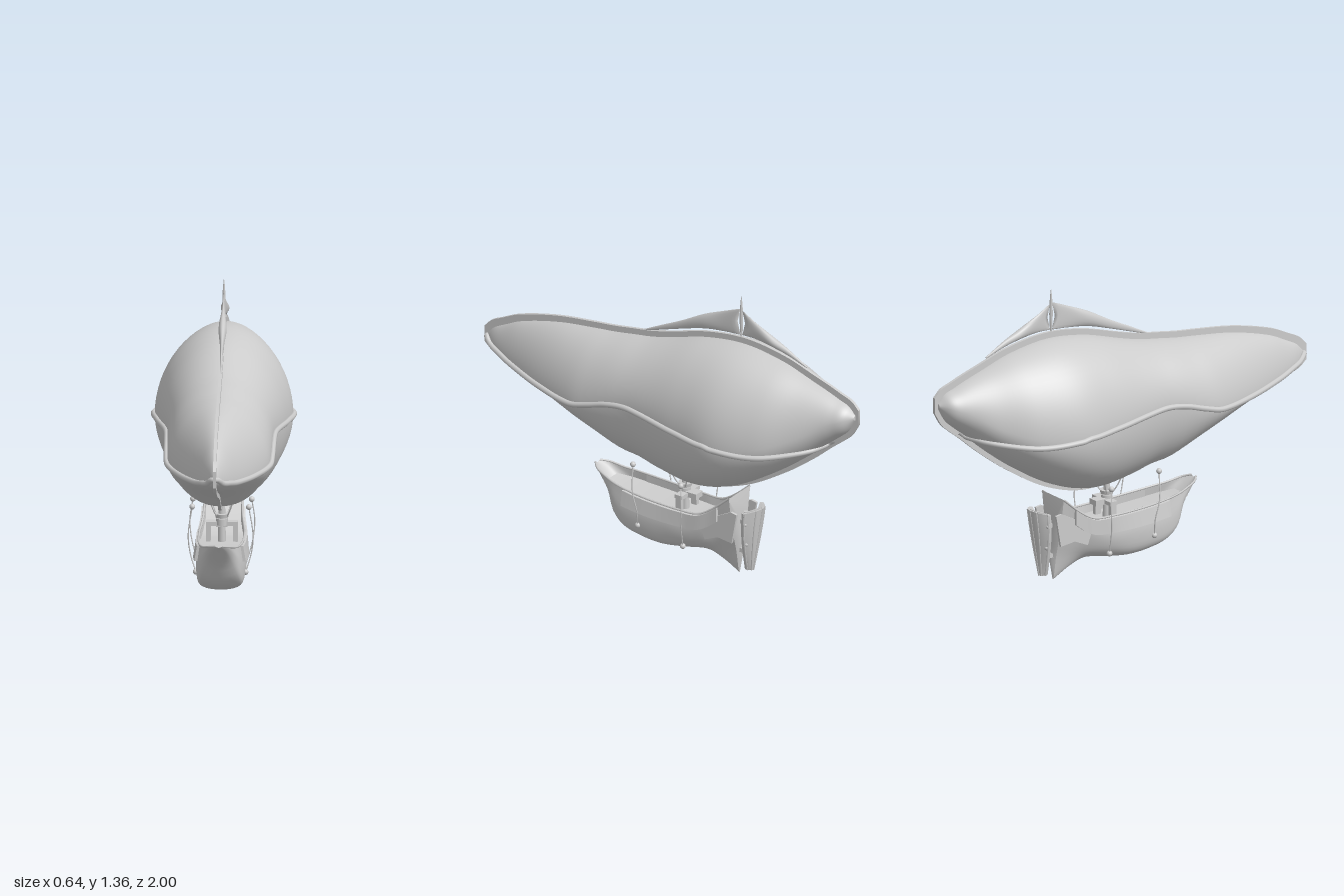
import * as THREE from 'three';
import { toCreasedNormals } from 'three/addons/utils/BufferGeometryUtils.js';

const mat = new THREE.MeshStandardMaterial({ color: 0xcccccc });
const thin = new THREE.MeshStandardMaterial({ color: 0xcccccc, side: THREE.DoubleSide });
const V = (x, y, z) => new THREE.Vector3(x, y, z);

function add(parent, name, geo, material = mat, x = 0, y = 0, z = 0) {
  const m = new THREE.Mesh(geo, material);
  m.name = name;
  m.position.set(x, y, z);
  parent.add(m);
  return m;
}

// Smooth lookup in a table of rows [z, a, b, ...] sorted by falling z
function sample(t, z) {
  let i = 0;
  while (i < t.length - 2 && z < t[i + 1][0]) i++;
  const a = t[i], b = t[i + 1], p = t[Math.max(i - 1, 0)], n = t[Math.min(i + 2, t.length - 1)];
  const h = b[0] - a[0], u = (z - a[0]) / h;
  return a.slice(1).map((v, k) => {
    const c = k + 1, m0 = (b[c] - p[c]) / (b[0] - p[0]) * h, m1 = (n[c] - a[c]) / (n[0] - a[0]) * h;
    return v + u * (m0 + u * (3 * (b[c] - v) - 2 * m0 - m1 + u * (2 * (v - b[c]) + m0 + m1)));
  });
}

// Surface through rings of points, optionally closed round and capped
function loft(rings, closed = true, caps = closed) {
  const n = rings[0].length, pts = rings.flat(), idx = [];
  for (let r = 0; r < rings.length - 1; r++)
    for (let i = 0; i < (closed ? n : n - 1); i++) {
      const a = r * n + i, b = r * n + (i + 1) % n;
      idx.push(a, b, a + n, b, b + n, a + n);
    }
  if (caps) [0, rings.length - 1].forEach((r, end) => {
    const c = pts.length, mid = V(0, 0, 0);
    rings[r].forEach((p) => mid.addScaledVector(p, 1 / n));
    pts.push(mid);
    for (let i = 0; i < n; i++) {
      const a = r * n + i, b = r * n + (i + 1) % n;
      end ? idx.push(a, b, c) : idx.push(b, a, c);
    }
  });
  const g = new THREE.BufferGeometry().setFromPoints(pts);
  g.setIndex(idx);
  g.computeVertexNormals();
  return g;
}

const steps = (n, a, b) => Array.from({ length: n + 1 }, (_, i) => a + (b - a) * i / n);
const tube = (pts, r, seg = 40, sides = 8) =>
  new THREE.TubeGeometry(new THREE.CatmullRomCurve3(pts), seg, r, sides);

// Envelope rows: z, top, bottom, widest height, half width
const ENV = [
  [0.985, 0.825, 0.795, 0.81, 0.008], [0.95, 0.86, 0.765, 0.785, 0.03], [0.9, 0.885, 0.745, 0.772, 0.052],
  [0.8, 0.93, 0.705, 0.75, 0.09], [0.6, 0.98, 0.645, 0.728, 0.163], [0.4, 1.005, 0.575, 0.722, 0.222],
  [0.3, 1.015, 0.525, 0.745, 0.23], [0.2, 1.03, 0.48, 0.775, 0.232], [0.1, 1.045, 0.465, 0.79, 0.236],
  [0, 1.07, 0.44, 0.785, 0.25], [-0.2, 1.125, 0.42, 0.767, 0.285], [-0.4, 1.145, 0.475, 0.755, 0.305],
  [-0.6, 1.115, 0.59, 0.775, 0.255], [-0.75, 1.065, 0.7, 0.83, 0.175], [-0.85, 1.03, 0.785, 0.89, 0.12],
  [-0.9, 1.01, 0.825, 0.915, 0.095], [-0.95, 0.99, 0.87, 0.935, 0.068], [-0.985, 0.955, 0.93, 0.943, 0.02],
];
const SEAM = [[-0.4, 0.748], [-0.6, 0.738], [-0.8, 0.765], [-0.95, 0.8]];
// Cross-section exponents: pointed towards the nose, rounder amidships
const power = (z, up) => THREE.MathUtils.lerp(up ? 1.9 : 2.1, up ? 1.65 : 1.45, THREE.MathUtils.smoothstep(z, 0.1, 0.8));

function envelope(parent) {
  const g = new THREE.Group();
  g.name = 'envelope';
  parent.add(g);
  const zs = steps(90, 0, Math.PI).map((a) => 0.985 * Math.cos(a));
  add(g, 'gasBag', loft(zs.map((z) => {
    const [top, bot, eq, w] = sample(ENV, z);
    return steps(63, 0, Math.PI * 2 * 63 / 64).map((a) => {
      const c = Math.cos(a), s = Math.sin(a), e = 2 / power(z, s > 0);
      return V(w * Math.sign(c) * Math.abs(c) ** e, eq + (s > 0 ? top - eq : bot - eq) * Math.abs(s) ** e, z);
    });
  })), thin);

  // Side seam running round the nose and meeting the keel at the tail
  const half = steps(60, -0.87, 0.985).map((z) => {
    const [, bot, eq, w] = sample(ENV, z), p = power(z, false);
    const y = z > -0.4 ? eq : Math.max(bot, sample(SEAM, z)[0]);
    const x = w * Math.max(0, 1 - ((eq - y) / (eq - bot)) ** p) ** (1 / p);
    return V(x + 0.004, y, z);
  });
  const other = half.map((p) => V(-p.x, p.y, p.z)).reverse();
  add(g, 'sideSeam', tube([...half, V(0, 0.81, 0.988), ...other], 0.013, 260));

  // Ridge band round the centre line
  const outline = (o, up) => zs.map((z) => {
    const r = sample(ENV, z);
    return new THREE.Vector2(z * (1 + o * 0.6), up ? r[0] + o : r[1] - o * 0.7);
  });
  const loop = (o) => [...outline(o, true), ...outline(o, false).reverse()];
  const band = new THREE.Shape(loop(0.027));
  band.holes.push(new THREE.Path(loop(-0.004)));
  const geo = new THREE.ExtrudeGeometry(band, { depth: 0.014, bevelEnabled: false });
  geo.translate(0, 0, -0.007).rotateY(-Math.PI / 2);
  add(g, 'ridgeBand', toCreasedNormals(geo, 0.6), thin);
}

// Dorsal fins rows: z, bottom, top, half thickness
const FRONT_FIN = [[0.15, 1.058, 1.066, 0.003], [0.05, 1.09, 1.115, 0.005], [-0.05, 1.122, 1.163, 0.008],
  [-0.17, 1.157, 1.228, 0.018], [-0.27, 1.172, 1.273, 0.009], [-0.335, 1.178, 1.306, 0.005]];
const REAR_FIN = [[-0.405, 1.18, 1.3, 0.005], [-0.45, 1.18, 1.262, 0.01], [-0.54, 1.168, 1.213, 0.019],
  [-0.62, 1.148, 1.176, 0.011], [-0.72, 1.112, 1.12, 0.003]];

function dorsal(parent) {
  const fin = (name, t, from, to, dir) => add(parent, name, loft(steps(30, 0, 1).map((k) => {
    const z = from + (to - from) * k, [b, top, w] = sample(t, z);
    const near = (dir < 0 ? k : 1 - k) ** 8; // hollow edge facing the mast
    return steps(15, 0, Math.PI * 15 / 8).map((a) => {
      const s = Math.sin(a);
      return V(w * Math.cos(a), (b + top) / 2 + (top - b) / 2 * s, z + dir * 0.03 * s * s * near);
    });
  })), thin);
  fin('frontDorsalFin', FRONT_FIN, 0.15, -0.335, -1);
  fin('rearDorsalFin', REAR_FIN, -0.405, -0.72, 1);
  const mast = [[0.001, 1.15], [0.006, 1.2], [0.008, 1.25], [0.007, 1.3], [0.004, 1.34], [0.0005, 1.37]];
  add(parent, 'mast', new THREE.LatheGeometry(mast.map((p) => new THREE.Vector2(...p)), 10), mat, 0, 0, -0.37);
}

// Gondola rows: z, rim y, rim x, side y, side x, bilge y, bilge x, keel y
const HULL = [
  [0.4, 0.35, 0.015, 0.348, 0.012, 0.346, 0.008, 0.344], [0.37, 0.34, 0.045, 0.33, 0.04, 0.32, 0.03, 0.312],
  [0.3, 0.32, 0.068, 0.28, 0.07, 0.245, 0.055, 0.225], [0.26, 0.313, 0.08, 0.23, 0.09, 0.175, 0.08, 0.155],
  [0.2, 0.305, 0.09, 0.19, 0.102, 0.125, 0.088, 0.105], [0.1, 0.296, 0.098, 0.18, 0.11, 0.1, 0.09, 0.075],
  [0, 0.29, 0.1, 0.18, 0.11, 0.092, 0.085, 0.065], [-0.1, 0.288, 0.1, 0.18, 0.105, 0.105, 0.075, 0.073],
  [-0.2, 0.292, 0.094, 0.2, 0.085, 0.12, 0.052, 0.086], [-0.27, 0.33, 0.086, 0.23, 0.066, 0.13, 0.036, 0.06],
  [-0.36, 0.405, 0.084, 0.25, 0.058, 0.13, 0.026, 0.012],
];

function gondola(parent) {
  const g = new THREE.Group();
  g.name = 'gondola';
  parent.add(g);
  const zs = steps(48, 0.4, -0.36);
  const rings = zs.map((z) => {
    const [ty, tx, my, mx, ly, lx, k] = sample(HULL, z);
    const right = [V(tx, ty, z), V(mx, my, z), V(lx, ly, z)];
    const left = right.map((p) => V(-p.x, p.y, z)).reverse();
    return new THREE.CatmullRomCurve3([...right, V(0, k, z), ...left]).getPoints(30);
  });
  add(g, 'hull', loft(rings, false), thin);
  // Stern transom, hollowed between its upper and lower points
  const stern = rings[rings.length - 1].map((p) => V(p.x, p.y, p.z));
  const inner = stern.map((p) => V(p.x * 0.55, 0.2 + (p.y - 0.2) * 0.6, -0.375));
  add(g, 'transom', loft([stern, inner, inner.map(() => V(0, 0.2, -0.37))], true, false), thin);
  add(g, 'deck', loft(steps(20, 0.33, -0.35).map((z) => {
    const [ty, tx, my, mx] = sample(HULL, z), y = ty - 0.04, x = tx + (mx - tx) * 0.04 / (ty - my);
    return [V(x, y, z), V(-x, y, z)];
  }), false), thin);

  for (const s of [1, -1]) {
    const side = s > 0 ? 'left' : 'right';
    add(g, side + 'Rim', tube(zs.map((z) => { const [y, x] = sample(HULL, z); return V(s * x, y, z); }), 0.005, 60, 6));
    // Raised plank along the side, sweeping up towards the stern
    add(g, side + 'SidePanel', toCreasedNormals(loft(steps(30, 0.2, -0.3).map((z) => {
      const [ty, tx, my, mx] = sample(HULL, z), x = Math.max(tx, mx);
      const low = ty - 0.075;
      return [V(s * tx, ty - 0.004, z), V(s * (tx + 0.012), ty - 0.006, z), V(s * (x + 0.012), low, z), V(s * (x - 0.01), low, z)];
    })), 0.6), thin);
    // Swept stern wing
    const wing = [[-0.2, 0.25], [-0.27, 0.29], [-0.37, 0.34], [-0.4, 0.335], [-0.375, 0.19], [-0.3, 0.2], [-0.23, 0.17]];
    const wg = new THREE.ExtrudeGeometry(new THREE.Shape(wing.map((p) => new THREE.Vector2(...p))), { depth: 0.012, bevelEnabled: false });
    wg.rotateY(-Math.PI / 2);
    add(g, side + 'SternWing', wg, mat, s * 0.078 + 0.006);
    for (const [y, z] of [[0.29, -0.43], [0.185, -0.425]])
      add(g, side + 'Bolt', new THREE.SphereGeometry(0.012, 12, 8), mat, s * (y > 0.2 ? 0.062 : 0.045), y, z);

    // Suspension ropes with their end knobs
    for (const [top, bottom] of [[V(0.125, 0.458, 0.125), V(0.11, 0.157, 0.11)], [V(0.13, 0.425, -0.135), V(0.1, 0.115, -0.125)]]) {
      const path = [top, V(0.143, 0.33, top.z - 0.01), V(0.135, 0.24, bottom.z - 0.012), bottom];
      path.forEach((p) => { p.x *= s; });
      add(g, side + 'Rope', tube(path, 0.003, 24, 6));
      for (const p of [top, bottom]) add(g, side + 'RopeKnob', new THREE.SphereGeometry(0.013, 12, 8), mat, p.x, p.y, p.z);
    }
  }

  // Curved shield-shaped rudder with ribs
  const face = (y, u, out) => {
    const k = (y - 0.045) / 0.305, w = 0.018 + 0.055 * Math.sin(Math.min(1, k * 1.1) * Math.PI / 2);
    return V(w * u * (1 + out * 4), y + 0.012 * (1 - u * u) * k, -0.405 - 0.02 * k - (0.022 + 0.03 * k) * (1 - u * u) - out);
  };
  add(g, 'rudder', toCreasedNormals(loft(steps(16, 0.045, 0.345).map((y) => [
    ...steps(10, -1, 1).map((u) => face(y, u, 0.008)), ...steps(10, 1, -1).map((u) => face(y, u, -0.004)),
  ])), 0.7), thin);
  for (const u of [-0.95, -0.45, 0, 0.45, 0.95])
    add(g, 'rudderRib', tube(steps(8, 0.045, 0.345).map((y) => face(y, u, 0.007)), 0.004, 16, 6));
  add(g, 'rudderHinge', new THREE.CylinderGeometry(0.01, 0.01, 0.24, 10), mat, 0, 0.2, -0.395);
  for (const y of [0.13, 0.27]) add(g, 'rudderBracket', new THREE.BoxGeometry(0.03, 0.02, 0.07), mat, 0, y, -0.4);
}

// Coupling between the envelope and the gondola
function coupling(parent) {
  const g = new THREE.Group();
  g.name = 'coupling';
  parent.add(g);
  add(g, 'post', new THREE.CylinderGeometry(0.014, 0.018, 0.18, 12), mat, 0, 0.34, -0.07);
  add(g, 'collar', new THREE.CylinderGeometry(0.032, 0.028, 0.018, 16), mat, 0, 0.368, -0.07);
  add(g, 'drum', new THREE.CylinderGeometry(0.026, 0.026, 0.03, 16), mat, 0, 0.34, -0.07);
  add(g, 'motorBlock', new THREE.BoxGeometry(0.05, 0.025, 0.09), mat, 0, 0.33, -0.1);
  add(g, 'crossBar', new THREE.BoxGeometry(0.14, 0.018, 0.04), mat, 0, 0.33, -0.08);
  for (const sx of [1, -1]) {
    add(g, 'barLeg', new THREE.BoxGeometry(0.02, 0.09, 0.03), mat, sx * 0.06, 0.29, -0.08);
    for (const sz of [1, -1])
      add(g, 'strut', tube([V(sx * 0.022, 0.365, -0.07 + sz * 0.015), V(sx * 0.035, 0.395, -0.07 + sz * 0.03), V(sx * 0.05, 0.44, -0.07 + sz * 0.045)], 0.003, 8, 6));
  }
}

export function createModel() {
  const model = new THREE.Group();
  model.name = 'airship';
  envelope(model);
  dorsal(model);
  gondola(model);
  coupling(model);
  return model;
}
